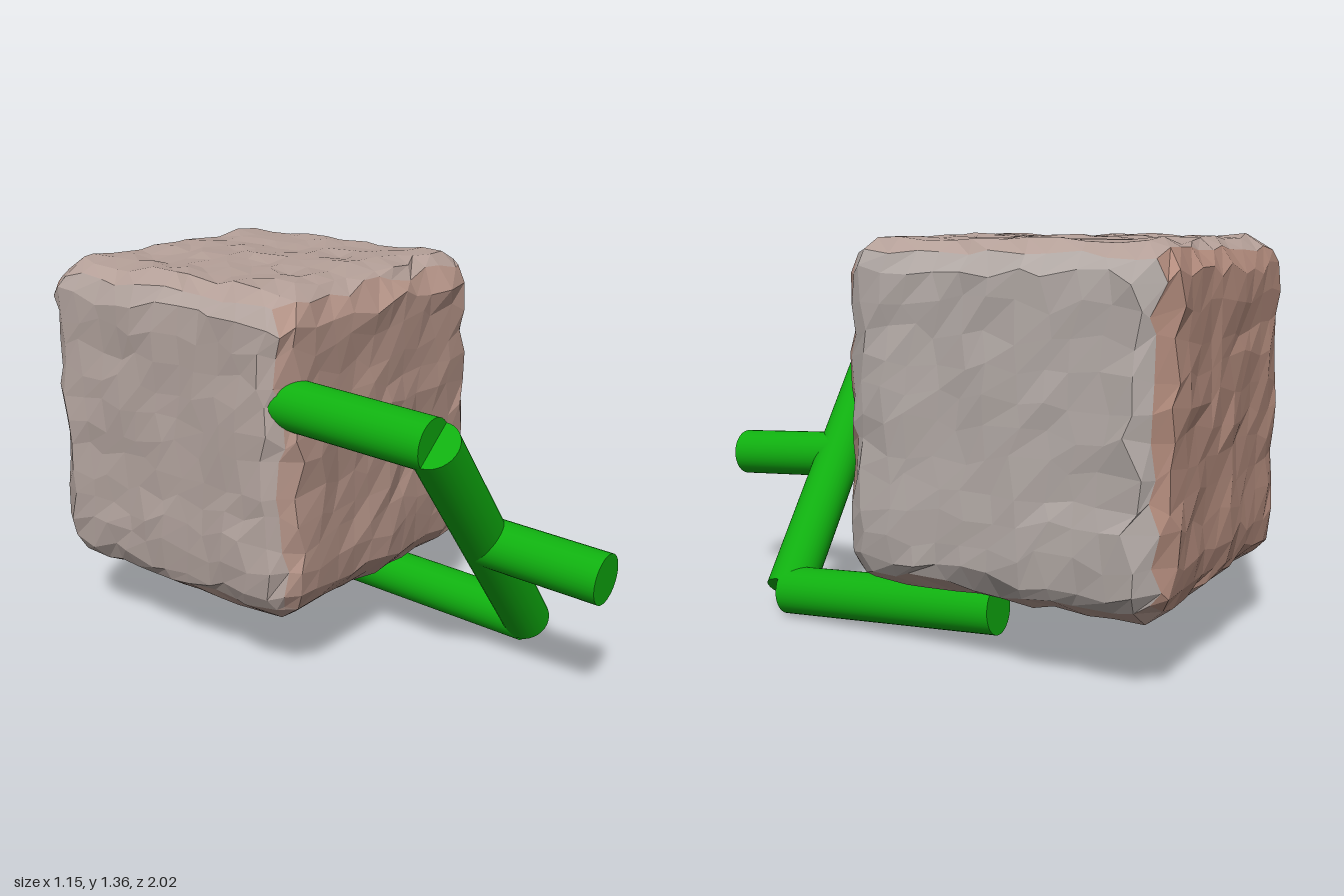
import * as THREE from 'three';
import { mergeVertices } from 'three/addons/utils/BufferGeometryUtils.js';

const ROD_RADIUS = 0.085;

// small seeded random, -1 to 1
function seeded(seed) {
  let s = seed;
  return () => {
    s = (s * 16807) % 2147483647;
    return (s / 2147483647) * 2 - 1;
  };
}

// rounded cube with gentle waves and uneven facets
function lumpyBlockGeometry(half, round, segments) {
  let g = new THREE.BoxGeometry(half * 2, half * 2, half * 2, segments, segments, segments);
  g.deleteAttribute('normal');
  g.deleteAttribute('uv');
  g = mergeVertices(g);
  const pos = g.attributes.position;
  const rand = seeded(4711);
  const inner = half - round;
  const p = new THREE.Vector3(), core = new THREE.Vector3(), out = new THREE.Vector3();
  for (let i = 0; i < pos.count; i++) {
    p.fromBufferAttribute(pos, i);
    core.copy(p).clampScalar(-inner, inner);
    out.copy(p).sub(core).normalize();
    const wave = Math.sin(p.x * 15 + 1.6) + Math.sin(p.y * 15 + 0.4) + Math.sin(p.z * 15 + 2.5);
    const jitter = new THREE.Vector3(rand(), rand(), rand()).multiplyScalar(0.026);
    jitter.addScaledVector(out, -jitter.dot(out)); // slide along the surface only
    p.copy(core).addScaledVector(out, round + wave * 0.004 + rand() * 0.008).add(jitter);
    pos.setXYZ(i, p.x, p.y, p.z);
  }
  g = g.toNonIndexed();
  g.computeVertexNormals();
  return g;
}

// one material group per facet: 0 is plain stone, higher is redder
function tintFrontPatch(g, steps) {
  const pos = g.attributes.position;
  for (let i = 0; i < pos.count; i += 3) {
    const mid = (axis) => (pos[axis](i) + pos[axis](i + 1) + pos[axis](i + 2)) / 3;
    const x = mid('getX'), y = mid('getY'), z = mid('getZ');
    const d = Math.hypot((x - 0.06) / 0.48, (y + 0.17) / 0.55);
    const strength = z > 0.4 ? Math.max(0, 1 - d) : 0;
    g.addGroup(i, 3, Math.min(steps, Math.round(strength * 1.4 * steps)));
  }
}

export function createModel() {
  const group = new THREE.Group();

  // stone block with a warm patch on its front
  const steps = 5;
  const stone = new THREE.Color(0xb3aaa6), warm = new THREE.Color(0xb78f80);
  const materials = [];
  for (let i = 0; i <= steps; i++) {
    materials.push(new THREE.MeshStandardMaterial({
      color: stone.clone().lerp(warm, i / steps),
      flatShading: true,
    }));
  }
  const blockGeometry = lumpyBlockGeometry(0.558, 0.13, 12);
  tintFrontPatch(blockGeometry, steps);
  const block = new THREE.Mesh(blockGeometry, materials);
  block.name = 'stoneBlock';
  block.position.set(0, 0.79, -0.437);
  block.rotation.y = 0.02;
  group.add(block);

  // cranked green frame made of straight rods
  const green = new THREE.MeshStandardMaterial({ color: 0x10b010 });
  const up = new THREE.Vector3(0, 1, 0);
  function rod(name, from, to) {
    const a = new THREE.Vector3(...from), b = new THREE.Vector3(...to);
    const dir = b.clone().sub(a);
    const mesh = new THREE.Mesh(
      new THREE.CylinderGeometry(ROD_RADIUS, ROD_RADIUS, dir.length(), 32), green);
    mesh.name = name;
    mesh.position.copy(a).add(b).multiplyScalar(0.5);
    mesh.quaternion.setFromUnitVectors(up, dir.normalize());
    group.add(mesh);
  }
  rod('upperArm', [-0.46, 1.01, -0.23], [-0.415, 0.955, 0.61]);
  rod('lowerArm', [0.28, 0.14, -0.33], [0.325, 0.088, 0.515]);
  rod('crossBar', [-0.415, 0.955, 0.61], [0.325, 0.088, 0.515]);
  rod('handle', [-0.045, 0.522, 0.562], [-0.023, 0.495, 0.998]);

  return group;
}
